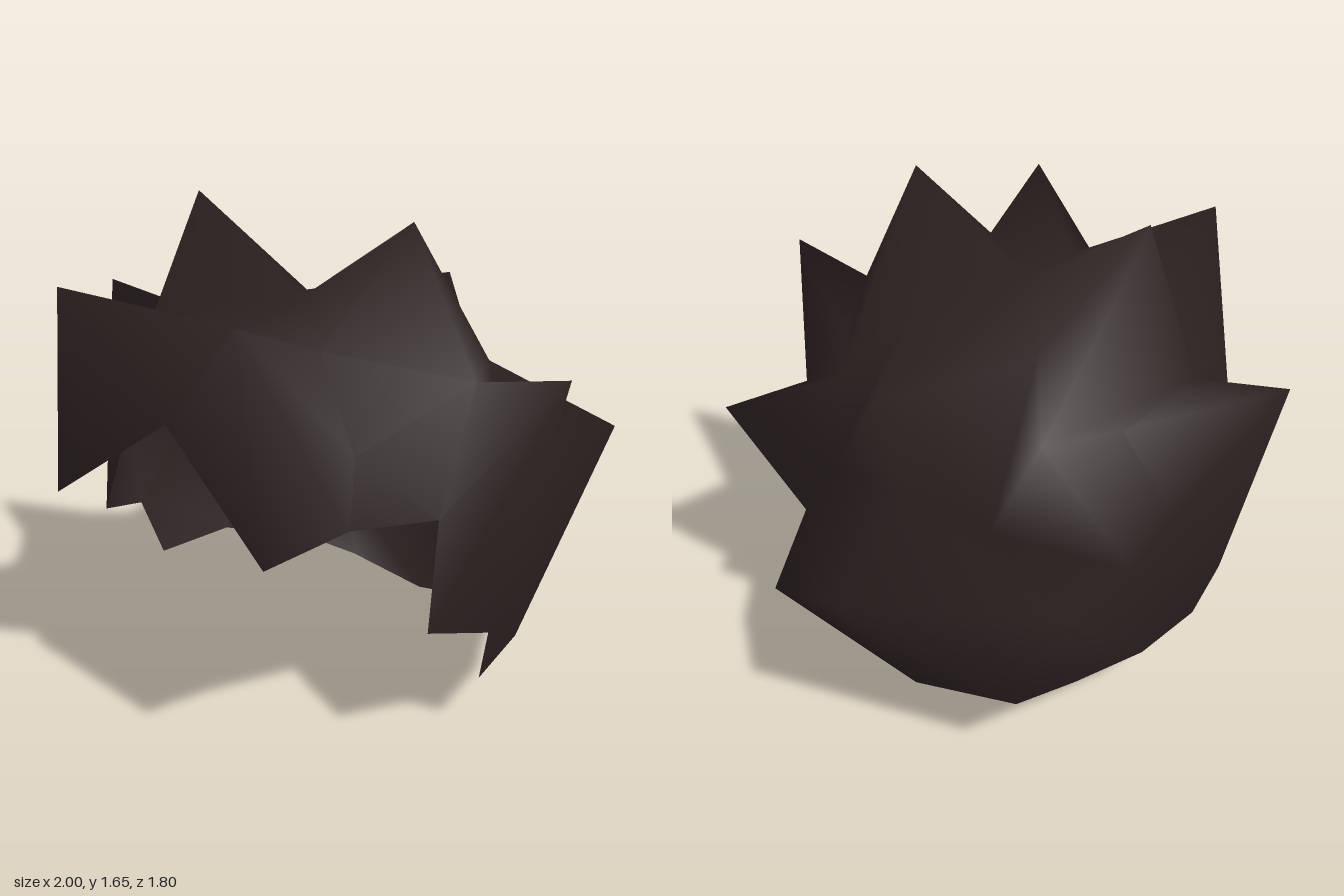
import * as THREE from 'three';

// Corner points of the left half (x >= 0); the right half is mirrored.
const P = {
  // fringe
  fringeMid: [0, 1.07, 0.83], fringeTip: [0.38, 1.45, 0.9], fringeLow: [0.46, 0.75, 0.9],
  templeFront: [0.6, 0.84, 0.68], temple: [0.7, 0.8, 0.38], cheek: [0.55, 1.03, 0.6],
  // crown
  partFront: [0, 1.31, 0.53], partMid: [0, 1.345, 0.2], partBack: [0, 1.29, -0.1],
  brow: [0.36, 1.3, 0.53], topTip: [0.46, 1.65, 0.21], valley: [0.68, 1.18, 0.17],
  crownBack: [0.26, 1.27, -0.12],
  // sides
  sideTip: [1, 1.25, 0.165], sideCrest: [0.57, 1.08, -0.1], sideWall: [0.77, 0.83, -0.11],
  burnTip: [0.74, 0.47, 0.48], burnBack: [0.81, 0.4, 0.25],
  // back
  shoulder: [0.4, 1.08, -0.33], backTip: [0, 1.28, -0.65], backBase: [0.32, 0.82, -0.49],
  wingTip: [0.82, 0.89, -0.485], wingBase: [0.56, 0.49, -0.4], backMid: [0, 0.85, -0.53],
  // nape and hem
  napeTip: [0, 0.66, -0.9], napeSide: [0.52, 0.3, -0.64],
  hem0: [0, 0, -0.5], hem1: [0.31, 0.07, -0.46], hem2: [0.56, 0.16, -0.32],
  hem3: [0.7, 0.2, -0.1], hem4: [0.75, 0.19, 0.2],
};

// Each part is a list of triangles between the named points.
const PARTS = {
  fringe: [
    'fringeMid fringeLow fringeTip', 'fringeMid fringeTip partFront',
    'fringeTip fringeLow templeFront', 'fringeTip templeFront cheek',
    'fringeTip cheek brow', 'fringeTip brow partFront', 'cheek templeFront temple',
  ],
  crownSpikes: [
    'partFront brow partMid', 'partMid brow topTip', 'brow valley topTip', 'brow cheek valley',
    'topTip valley shoulder', 'topTip shoulder crownBack',
    'partMid topTip crownBack', 'partMid crownBack partBack',
  ],
  sideSpikes: [
    'cheek temple valley', 'valley temple sideTip', 'valley sideTip sideCrest',
    'valley sideCrest shoulder', 'sideTip sideWall sideCrest', 'sideTip temple burnTip',
    'sideTip burnTip burnBack', 'sideTip burnBack sideWall',
  ],
  sideburns: [
    'sideWall burnBack hem3', 'burnBack hem4 hem3', 'wingBase hem3 hem2',
  ],
  backSpikes: [
    'partBack crownBack backTip', 'crownBack shoulder backBase', 'crownBack backBase backTip',
    'shoulder sideCrest sideWall', 'shoulder sideWall wingTip', 'shoulder wingTip backBase',
    'sideWall hem3 wingTip', 'wingTip hem3 wingBase',
    'backTip backBase backMid', 'backBase wingTip wingBase', 'backBase wingBase backMid',
  ],
  nape: [
    'backMid wingBase napeTip', 'napeTip wingBase napeSide', 'napeTip napeSide hem0',
    'napeSide hem1 hem0', 'wingBase hem2 napeSide', 'napeSide hem2 hem1',
  ],
};

export function createModel() {
  const group = new THREE.Group();
  group.name = 'spikyHair';
  const hair = new THREE.MeshStandardMaterial({ color: 0x2b2020, side: THREE.DoubleSide });
  hair.name = 'darkBrownHair';

  // Shared points for both halves; centre-line points are used once.
  const points = [], left = {}, right = {};
  for (const [name, [x, y, z]] of Object.entries(P)) {
    left[name] = right[name] = points.push(new THREE.Vector3(x, y, z)) - 1;
    if (x > 0) right[name] = points.push(new THREE.Vector3(-x, y, z)) - 1;
  }

  // Turn every triangle to face away from the middle of the head.
  const middle = new THREE.Vector3(0, 0.75, 0.05);
  const outward = (tri) => {
    const [a, b, c] = tri.map((i) => points[i]);
    const normal = b.clone().sub(a).cross(c.clone().sub(a));
    const centre = a.clone().add(b).add(c).divideScalar(3).sub(middle);
    return normal.dot(centre) < 0 ? [tri[0], tri[2], tri[1]] : tri;
  };
  const indices = {};
  for (const [part, faces] of Object.entries(PARTS)) {
    indices[part] = faces.flatMap((face) => [left, right].flatMap(
      (half) => outward(face.split(' ').map((name) => half[name]))));
  }

  // Smooth normals are worked out over the whole shell, so the parts join softly.
  const shell = new THREE.BufferGeometry().setFromPoints(points);
  shell.setIndex(Object.values(indices).flat());
  shell.computeVertexNormals();

  for (const [part, index] of Object.entries(indices)) {
    const geometry = new THREE.BufferGeometry();
    geometry.setAttribute('position', shell.getAttribute('position'));
    geometry.setAttribute('normal', shell.getAttribute('normal'));
    geometry.setIndex(index);
    const mesh = new THREE.Mesh(geometry, hair);
    mesh.name = part;
    group.add(mesh);
  }
  return group;
}
